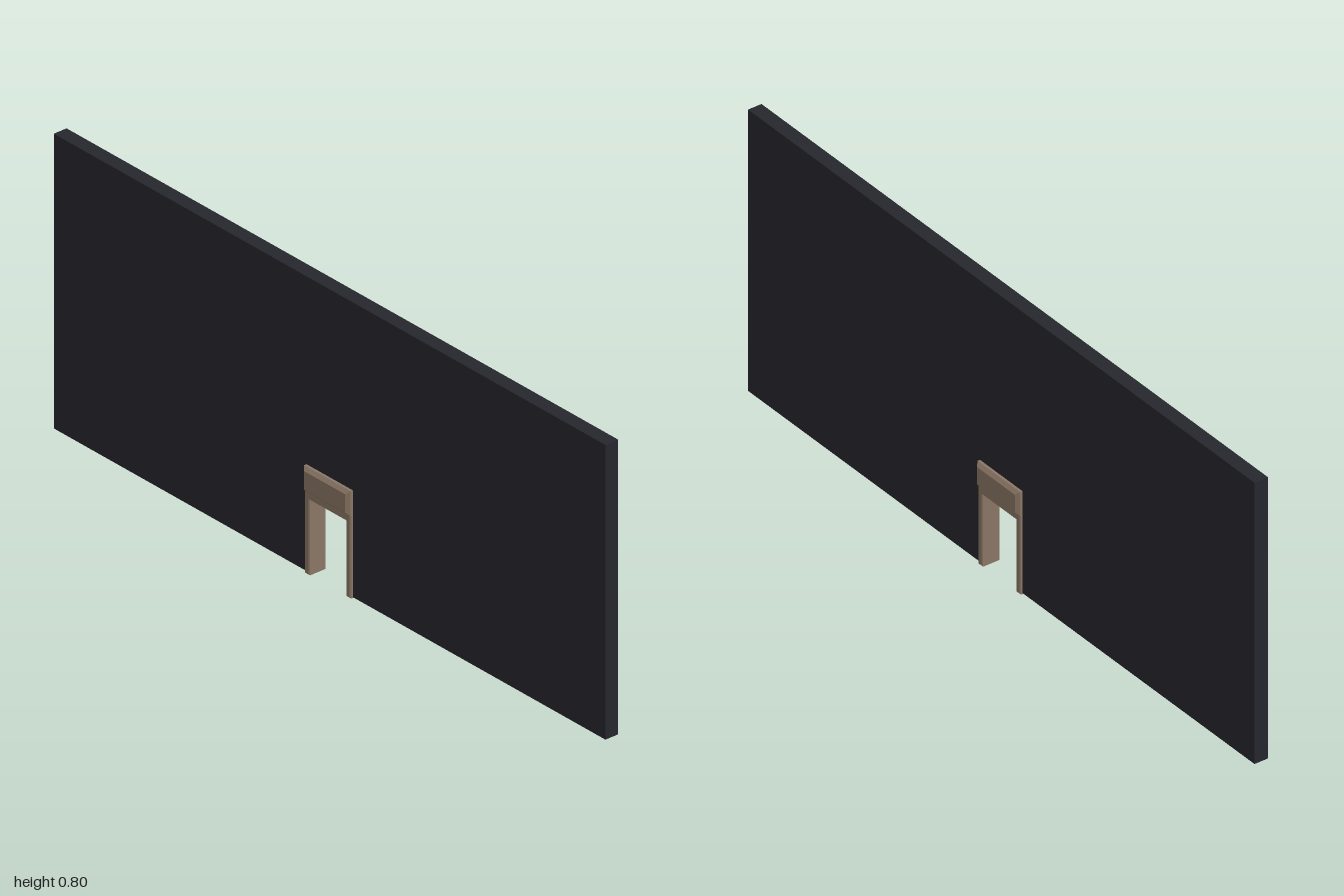
import * as THREE from 'three';

const wallMat = new THREE.MeshStandardMaterial({ color: 0x26262e });
const frameMat = new THREE.MeshStandardMaterial({ color: 0x8b7765 });

// Extrudes a side-on outline across x, centred, with an optional chamfer kept inside the outline
function slab(name, points, halfX, chamfer, material) {
  const shape = new THREE.Shape(points.map(([z, y]) => new THREE.Vector2(z, y)));
  const depth = 2 * (halfX - chamfer);
  const geometry = new THREE.ExtrudeGeometry(shape, {
    depth,
    bevelEnabled: chamfer > 0,
    bevelThickness: chamfer,
    bevelSize: chamfer,
    bevelOffset: -chamfer,
    bevelSegments: 1,
  });
  geometry.translate(0, 0, -depth / 2);
  geometry.rotateY(Math.PI / 2);
  const mesh = new THREE.Mesh(geometry, material);
  mesh.name = name;
  return mesh;
}

// Upside-down U outline: outer half width and top, inner half width and top
function arch(outer, top, inner, innerTop, base) {
  return [
    [-outer, base], [-inner, base], [-inner, innerTop], [inner, innerTop],
    [inner, base], [outer, base], [outer, top], [-outer, top],
  ];
}

export function createModel() {
  const group = new THREE.Group();
  group.name = 'wallWithDoorway';

  // Wall with the doorway cut out
  group.add(slab('wall', arch(1, 0.803, 0.075, 0.215, 0.003), 0.02, 0, wallMat));

  // Door frame lining the opening and standing proud on both sides
  group.add(slab('doorFrame', arch(0.084, 0.232, 0.066, 0.205, 0), 0.027, 0.003, frameMat));

  // Chamfered header block over the door
  const header = [[-0.084, 0.225], [0.084, 0.225], [0.084, 0.293], [-0.084, 0.293]];
  group.add(slab('doorHeader', header, 0.036, 0.009, frameMat));

  return group;
}
